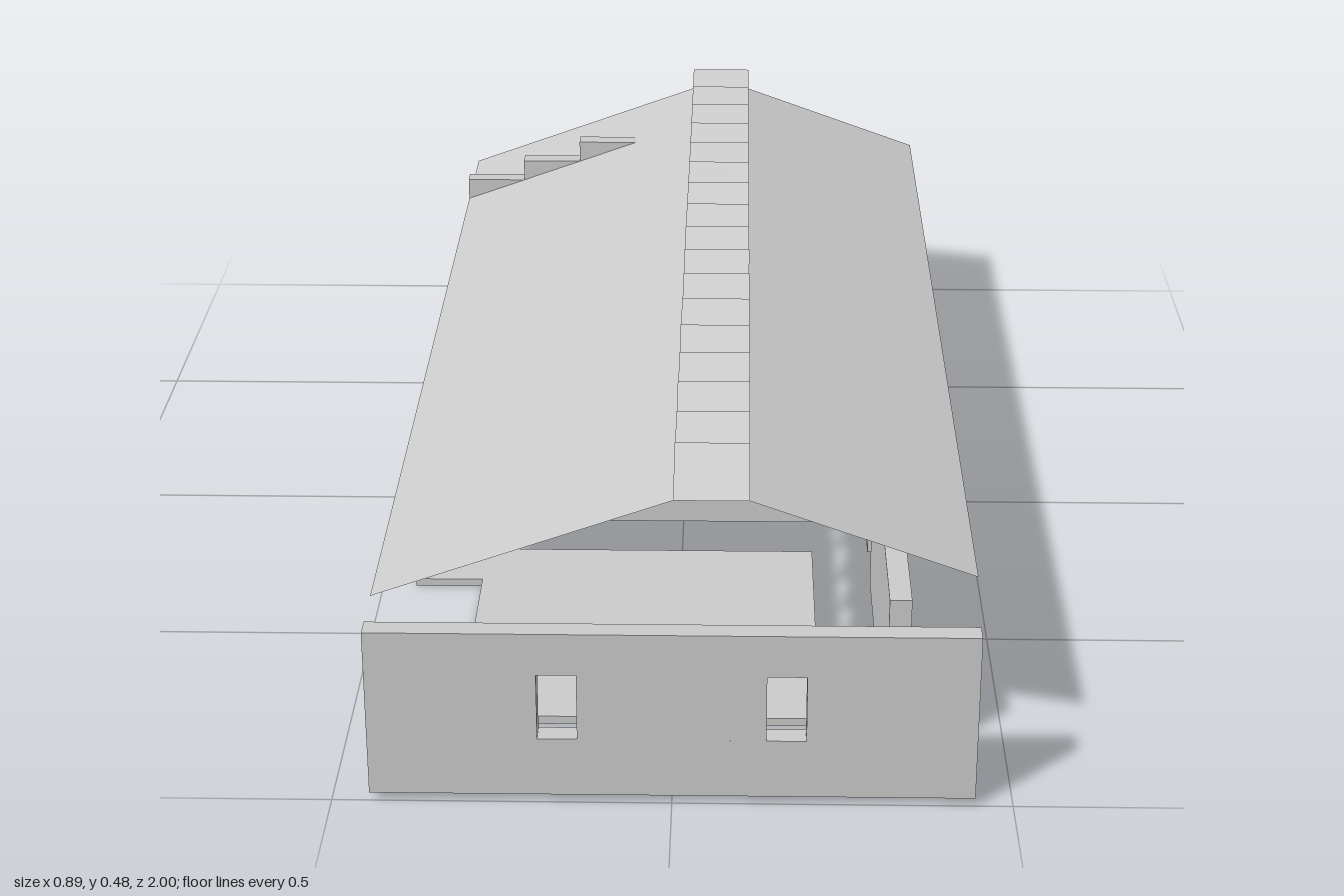
import * as THREE from 'three';

const U = 1 / 9;          // plan grid module
const T = 0.033;          // wall thickness
const FLOOR = 0.013, TOP = 0.28;

export function createModel() {
  const model = new THREE.Group();
  model.name = 'pavilion';
  const gray = new THREE.MeshStandardMaterial({ color: 0xcccccc, side: THREE.DoubleSide });
  gray.name = 'plainGray';

  function add(name, geometry) {
    const mesh = new THREE.Mesh(geometry, gray);
    mesh.name = name;
    model.add(mesh);
    return mesh;
  }

  // Box given by its limits
  function box(name, x0, x1, y0, y1, z0, z1) {
    add(name, new THREE.BoxGeometry(x1 - x0, y1 - y0, z1 - z0))
      .position.set((x0 + x1) / 2, (y0 + y1) / 2, (z0 + z1) / 2);
  }

  // Upright wall across x with window openings, its front face at z
  function crossWall(name, outline, windows, z) {
    const shape = new THREE.Shape(outline.map(([x, y]) => new THREE.Vector2(x, y)));
    for (const c of windows) {
      const hole = [[c - 0.029, 0.107], [c - 0.029, 0.213], [c + 0.029, 0.213], [c + 0.029, 0.107]];
      shape.holes.push(new THREE.Path(hole.map(([x, y]) => new THREE.Vector2(x, y))));
    }
    add(name, new THREE.ExtrudeGeometry(shape, { depth: T, bevelEnabled: false }))
      .position.z = z - T;
  }

  // Thin sloping sheet between two edges running along z
  function sheet(name, a, b, z0, z1) {
    const g = new THREE.PlaneGeometry(1, 1);
    g.setAttribute('position', new THREE.Float32BufferAttribute([
      a[0], a[1], z0, b[0], b[1], z0, a[0], a[1], z1, b[0], b[1], z1], 3));
    g.computeVertexNormals();
    add(name, g);
  }

  // Front wall, middle wall and stepped back wall
  const W = 4 * U;
  crossWall('frontWall', [[-W, FLOOR], [W, FLOOR], [W, TOP], [-W, TOP]], [-1.5 * U, 1.5 * U], 1);
  box('middleWall', -W, 3 * U - T / 2, FLOOR, TOP, U - T, U);
  const steps = [[-W, FLOOR], [W, FLOOR], [W, TOP]];
  for (let i = 0; i < 3; i++) {
    const x = (3 - i) * U;
    steps.push([x, TOP + i * 0.04], [x, TOP + (i + 1) * 0.04]);
  }
  steps.push([-2 * U, 0.40], [-2 * U, 0.36], [-3 * U, 0.36], [-3 * U, 0.32], [-W, 0.32]);
  crossWall('backWall', steps, [1.5 * U], -7 * U);

  // Side wall panels with gaps between them
  for (const [z0, z1] of [[3, 8], [-2, 2], [-7, -3]])
    box('sideWall', 3 * U - T / 2, 3 * U + T / 2, FLOOR, TOP, z0 * U, z1 * U);

  // Two matching floor slabs with projecting tabs, in modules (x, z)
  const plan = [[2, 2], [2, 7], [0, 7], [0, 8], [-1, 8], [-1, 7], [-3, 7], [-3, 3], [-4, 3], [-4, 2]];
  for (const dz of [0, -8]) {
    const shape = new THREE.Shape(plan.map(([x, z]) => new THREE.Vector2(x * U, -(z + dz) * U)));
    const g = new THREE.ExtrudeGeometry(shape, { depth: FLOOR, bevelEnabled: false });
    add('floorSlab', g.rotateX(-Math.PI / 2));
  }

  // Stepping stones and columns behind the back wall
  const H = 0.0425;
  const pad = (name, cx, cz, y0, y1) =>
    box(name, cx * U - H, cx * U + H, y0, y1, cz * U - H, cz * U + H);
  for (const c of [-3.5, -2.5, -1.5, -0.5, 1.5, 2.5]) pad('steppingStone', c, -8.5, FLOOR, 0.025);
  pad('outerColumn', -2.5, -8.5, 0.025, TOP);
  pad('innerColumn', -1.5, -7.5, FLOOR, TOP);

  // Roof slopes either side of an open ridge
  sheet('rightRoof', [-W, 0.28], [0, 0.44], -1, 8 * U);
  sheet('leftRoof', [U, 0.44], [W, 0.32], -1, 8 * U);

  // Tilted louvres over the ridge, each rising toward the back
  for (let i = 0; i < 17; i++) {
    const g = new THREE.PlaneGeometry(U, Math.hypot(U, 0.04));
    const louvre = add('ridgeLouvre', g);
    louvre.rotation.x = -Math.PI / 2 + Math.atan2(0.04, U);
    louvre.position.set(U / 2, 0.46, (7.5 - i) * U);
  }
  return model;
}
